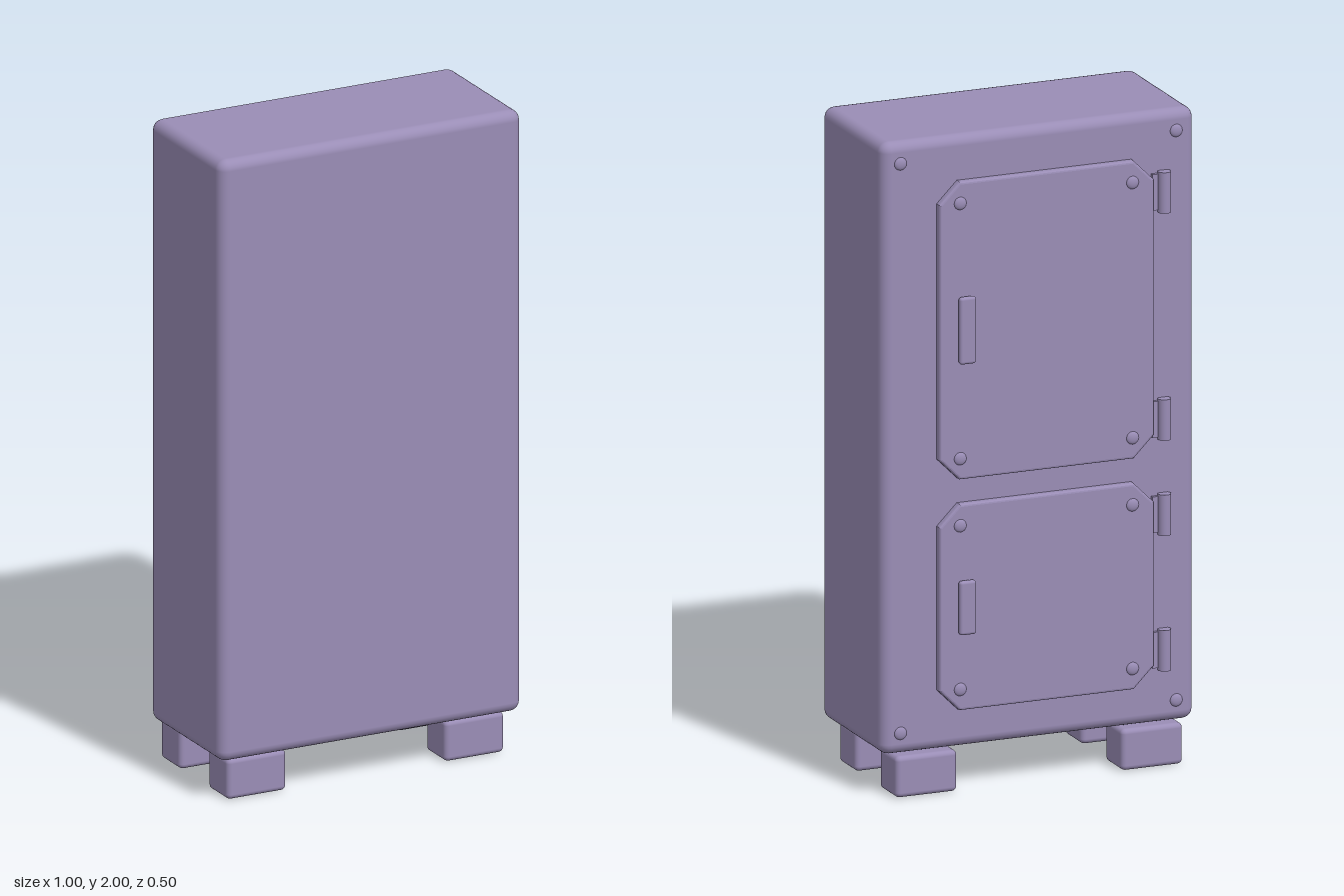
import * as THREE from 'three';
import { RoundedBoxGeometry } from 'three/addons/geometries/RoundedBoxGeometry.js';

const paint = new THREE.MeshStandardMaterial({ color: 0x9a8db6 });
paint.name = 'mauve paint';

export function createModel() {
  const group = new THREE.Group();
  const add = (name, geometry, x, y, z, parent = group) => {
    const mesh = new THREE.Mesh(geometry, paint);
    mesh.name = name;
    mesh.position.set(x, y, z);
    parent.add(mesh);
    return mesh;
  };
  const box = (w, h, d, r) => new RoundedBoxGeometry(w, h, d, 3, r);

  // Cabinet shell
  add('cabinetBody', box(1, 1.87, 0.45, 0.032), 0, 1.065, 0.025);

  // Four block feet
  for (const x of [-0.36, 0.36])
    for (const z of [0.153, -0.148]) add('foot', box(0.196, 0.126, 0.126, 0.015), x, 0.063, z);

  // Domed bolt head facing the back
  const boltGeometry = new THREE.SphereGeometry(0.02, 16, 6, 0, Math.PI * 2, 0, Math.PI / 2);
  boltGeometry.scale(1, 0.45, 1);
  boltGeometry.rotateX(-Math.PI / 2);
  const bolt = (name, x, y, z, parent) => add(name, boltGeometry, x, y, z, parent);

  for (const x of [-0.44, 0.44])
    for (const y of [0.195, 1.935]) bolt('cornerBolt', x, y, -0.199);

  // Chamfered door plate with a softened rim
  const doorGeometry = (w, h) => {
    const b = 0.008, c = 0.06, x = w / 2 - b, y = h / 2 - b;
    const shape = new THREE.Shape([
      [-x + c, -y], [x - c, -y], [x, -y + c], [x, y - c],
      [x - c, y], [-x + c, y], [-x, y - c], [-x, -y + c],
    ].map(([px, py]) => new THREE.Vector2(px, py)));
    return new THREE.ExtrudeGeometry(shape, {
      depth: 0.014, bevelThickness: b, bevelSize: b, bevelSegments: 3,
    });
  };

  const doors = [
    { name: 'upperDoor', low: 0.955, high: 1.865, handleY: 1.415, handleH: 0.205 },
    { name: 'lowerDoor', low: 0.25, high: 0.88, handleY: 0.568, handleH: 0.165 },
  ];
  for (const { name, low, high, handleY, handleH } of doors) {
    const door = new THREE.Group();
    door.name = name;
    group.add(door);
    add('doorPanel', doorGeometry(0.685, high - low), -0.017, (low + high) / 2, -0.217, door);

    for (const x of [-0.29, 0.26])
      for (const y of [low + 0.065, high - 0.065]) bolt('doorBolt', x, y, -0.224, door);

    // Pull handle standing on two short posts
    add('handle', box(0.053, handleH, 0.02, 0.009), 0.244, handleY, -0.24, door);
    for (const s of [-1, 1])
      add('handlePost', new THREE.BoxGeometry(0.025, 0.025, 0.014), 0.244, handleY + s * (handleH / 2 - 0.03), -0.227, door);

    // Hinge barrels along the door edge
    for (const y of [low + 0.108, high - 0.108]) {
      add('hingeBarrel', new THREE.CylinderGeometry(0.02, 0.02, 0.125, 16), -0.397, y, -0.212, door);
      add('hingeLeaf', new THREE.BoxGeometry(0.05, 0.11, 0.012), -0.385, y, -0.205, door);
    }
  }
  return group;
}
